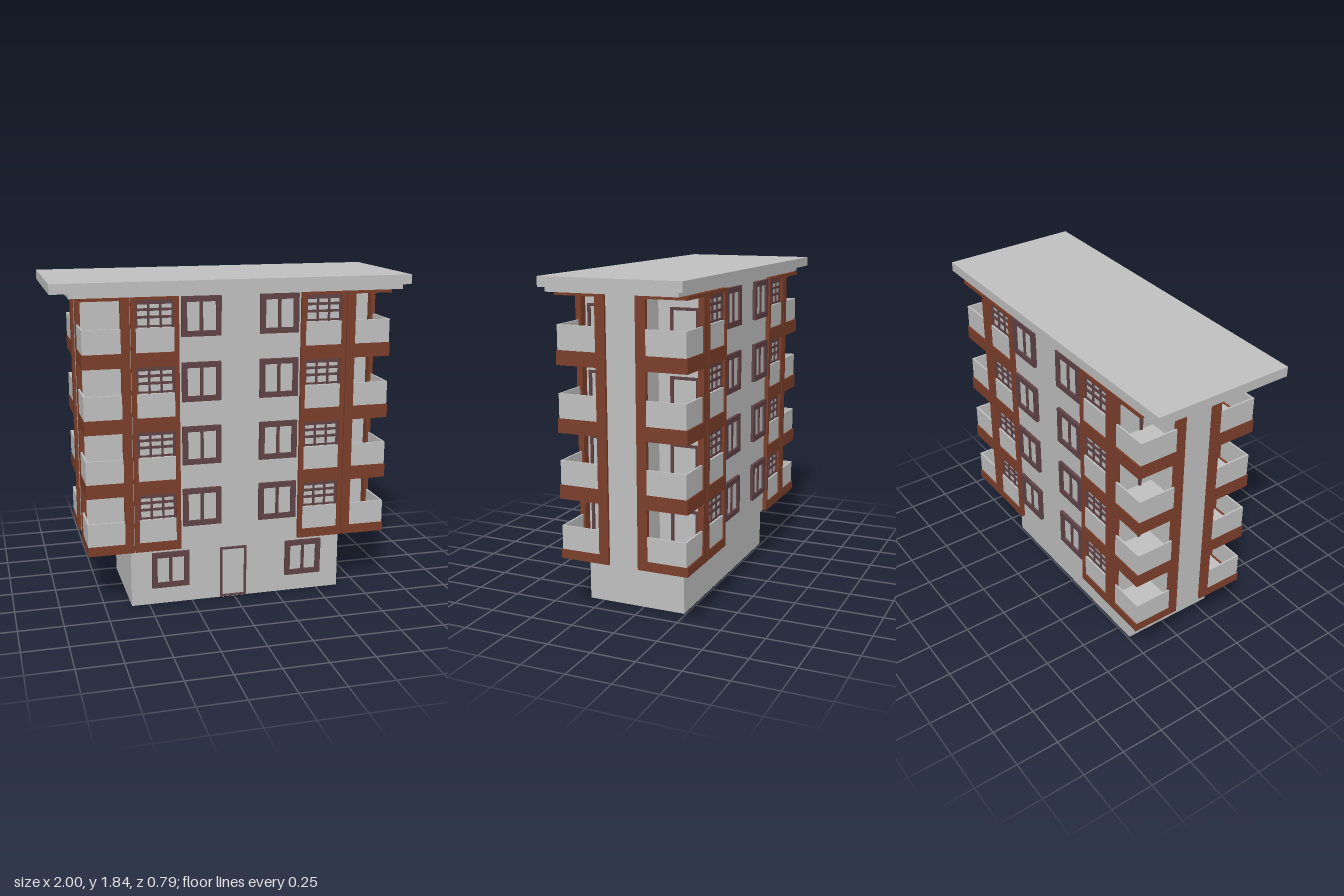
import * as THREE from 'three';

export function createModel() {
  const mat = (name, color) => Object.assign(new THREE.MeshStandardMaterial({ color }), { name });
  const plaster = mat('plaster', 0xc0c0c0);
  const brick = mat('terracotta', 0x7c3f2a);
  const wood = mat('windowFrame', 0x5f4246);

  const model = new THREE.Group();
  model.name = 'apartmentBlock';

  // Box between two corners, in any order
  function box(parent, name, m, x0, x1, y0, y1, z0, z1) {
    const g = new THREE.BoxGeometry(Math.abs(x1 - x0), Math.abs(y1 - y0), Math.abs(z1 - z0));
    const mesh = new THREE.Mesh(g, m);
    mesh.name = name;
    mesh.position.set((x0 + x1) / 2, (y0 + y1) / 2, (z0 + z1) / 2);
    parent.add(mesh);
    return mesh;
  }

  // Two-pane window with a raised surround, facing +z, centred on its own origin
  function makeWindow(w, h, d) {
    const g = new THREE.Group();
    g.name = 'window';
    const t = 0.03, a = w / 2, b = h / 2;
    box(g, 'surroundLeft', wood, -a, -a + t, -b, b, 0, d);
    box(g, 'surroundRight', wood, a - t, a, -b, b, 0, d);
    box(g, 'surroundTop', wood, -a + t, a - t, b - t, b, 0, d);
    box(g, 'surroundBottom', wood, -a + t, a - t, -b, -b + t, 0, d);
    box(g, 'panes', plaster, -a + t, a - t, -b + t, b - t, 0, d * 0.3);
    box(g, 'mullion', wood, -0.009, 0.009, -b + t, b - t, 0, d * 0.7);
    return g;
  }

  // Ground floor with door and tilted windows
  box(model, 'groundFloor', plaster, -0.6, 0.63, 0, 0.33, -0.24, 0.335);
  box(model, 'doorPostLeft', wood, -0.085, -0.072, 0.005, 0.305, 0.335, 0.343);
  box(model, 'doorPostRight', wood, 0.057, 0.07, 0.005, 0.305, 0.335, 0.343);
  box(model, 'doorLintel', wood, -0.072, 0.057, 0.292, 0.305, 0.335, 0.343);
  box(model, 'doorSill', wood, -0.072, 0.057, 0.005, 0.015, 0.335, 0.343);
  for (const x of [-0.375, 0.41]) {
    const w = makeWindow(0.215, 0.212, 0.016);
    w.position.set(x, 0.205, 0.336);
    w.rotation.x = 0.04;
    model.add(w);
  }

  // Upper floors, symmetric about their own centre
  const upper = new THREE.Group();
  upper.name = 'upperFloors';
  upper.position.set(0.03, 0, -0.01);
  model.add(upper);
  const Y0 = 0.328, TOP = 1.755, PITCH = 0.358, WALL = 0.345, FACE = 0.368, SIDE = 0.87;
  box(upper, 'mainWalls', plaster, -0.608, 0.608, Y0, TOP, -WALL, WALL);
  for (const s of [1, -1]) {
    box(upper, 'sideWall', plaster, s * 0.608, s * 0.855, Y0, TOP, -0.09, 0.09);
  }

  // Bottom and top of each brick band, from the lowest slab to the eaves
  const bands = [[Y0, 0.38]];
  for (let i = 1; i < 4; i++) bands.push([0.302 + i * PITCH, 0.38 + i * PITCH]);
  bands.push([1.735, TOP]);

  for (const sx of [1, -1]) for (const sz of [1, -1]) {
    const quarter = new THREE.Group();
    quarter.name = 'balconyStack';
    upper.add(quarter);
    const add = (name, m, x0, x1, y0, y1, z0, z1) =>
      box(quarter, name, m, sx * x0, sx * x1, y0, y1, sz * z0, sz * z1);

    // Full-height posts of the corner balconies and of the shallow bay
    add('cornerFrontPost', brick, 0.611, 0.66, Y0, TOP, 0.335, FACE);
    add('cornerSidePost', brick, 0.845, SIDE, Y0, TOP, 0.085, 0.14);
    add('bayInnerPost', brick, 0.345, 0.37, Y0, TOP, WALL, FACE);
    add('bayOuterPost', brick, 0.58, 0.605, Y0, TOP, WALL, FACE);

    for (const [a, b] of bands) {
      add('bayBand', brick, 0.37, 0.58, a, b, WALL, FACE);
      add('cornerFrontBand', brick, 0.66, SIDE, a, b, 0.335, FACE);
      add('cornerSideBand', brick, 0.845, SIDE, a, b, 0.14, 0.335);
      add('balconySlab', plaster, 0.608, 0.845, Math.max(a + 0.004, b - 0.04), b - 0.001, 0.09, 0.335);
    }

    for (let i = 0; i < 4; i++) {
      const y = 0.38 + i * PITCH;
      // Solid parapets
      add('frontParapet', plaster, 0.66, SIDE - 0.002, y, y + 0.132, 0.35, 0.36);
      add('sideParapet', plaster, 0.858, SIDE - 0.002, y, y + 0.132, 0.14, 0.35);
      add('bayParapet', plaster, 0.37, 0.58, y, y + 0.132, WALL, 0.361);

      // Balcony door surround on the inner wall
      add('balconyDoorPost', wood, 0.608, 0.618, y, y + 0.217, 0.16, 0.176);
      add('balconyDoorPost', wood, 0.608, 0.618, y, y + 0.217, 0.304, 0.32);
      add('balconyDoorLintel', wood, 0.608, 0.618, y + 0.202, y + 0.217, 0.176, 0.304);

      // Barred bay window above the parapet
      for (const [h, t] of [[0.257, 0.03], [0.222, 0.014], [0.182, 0.014], [0.135, 0.01]])
        add('bayWindowBar', wood, 0.37, 0.58, y + h, y + h + t, WALL, 0.353);
      for (const x of [0.37, 0.436, 0.502, 0.568])
        add('bayWindowPost', wood, x, x + 0.012, y + 0.132, y + 0.265, WALL, 0.352);

      // Wall window
      const w = makeWindow(0.22, 0.217, 0.018);
      w.position.set(sx * 0.22, y + 0.185, sz * WALL);
      if (sz < 0) w.rotation.y = Math.PI;
      quarter.add(w);
    }
  }

  // Stepped flat roof
  box(model, 'roofTrim', plaster, -0.9, 0.955, TOP, 1.785, -0.355, 0.38);
  box(model, 'roofSlab', plaster, -1, 1, 1.782, 1.836, -0.396, 0.396);

  return model;
}
